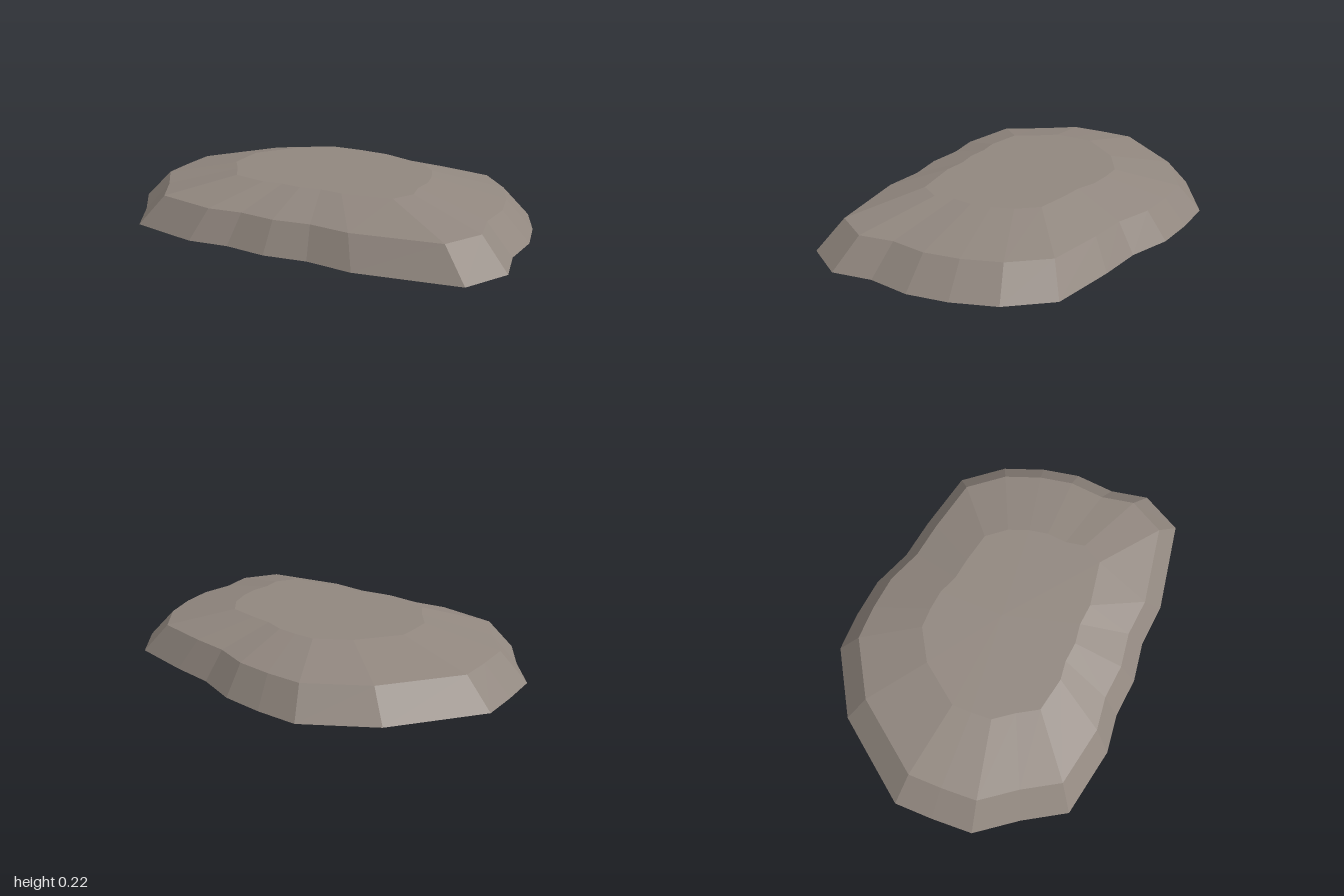
import * as THREE from 'three';

// Ground outline of the rock as [x, z], running back, right, front, left
const OUTLINE = [
  [-0.4, -0.72], [-0.2, -0.72], [0, -0.7], [0.2, -0.625], [0.41, -0.595], [0.72, -0.53],
  [0.875, -0.34], [0.95, -0.14], [0.985, 0.05], [0.965, 0.25], [1, 0.44], [0.885, 0.64],
  [0.42, 0.71], [0.2, 0.687], [0, 0.712], [-0.2, 0.69], [-0.39, 0.71], [-0.73, 0.64],
  [-0.85, 0.44], [-0.99, 0.25], [-1, 0.05], [-1, -0.14], [-0.71, -0.53],
];

// Rings rising from the ground: height, scale and z shift of the outline
const RINGS = [
  { y: 0, sx: 1, sz: 1, dz: 0 },
  { y: 0.135, sx: 0.867, sz: 0.869, dz: 0.006 },
  { y: 0.215, sx: 0.502, sz: 0.5, dz: 0.024 },
];

function slabGeometry() {
  const n = OUTLINE.length;
  const positions = [];
  const index = [];
  for (const r of RINGS) {
    for (const [x, z] of OUTLINE) positions.push(x * r.sx, r.y, z * r.sz + r.dz);
  }
  // Centre points of the underside and of the flat top
  const bottom = RINGS.length * n;
  const top = bottom + 1;
  const last = (RINGS.length - 1) * n;
  positions.push(0, 0, 0, 0, RINGS[RINGS.length - 1].y, 0);

  for (let i = 0; i < n; i++) {
    const j = (i + 1) % n;
    // Sloping sides
    for (let k = 0; k < last; k += n) {
      index.push(k + j, k + i, k + n + i, k + j, k + n + i, k + n + j);
    }
    // Caps
    index.push(bottom, i, j, top, last + j, last + i);
  }
  const geometry = new THREE.BufferGeometry();
  geometry.setAttribute('position', new THREE.Float32BufferAttribute(positions, 3));
  geometry.setIndex(index);
  const flat = geometry.toNonIndexed();
  flat.computeVertexNormals();
  return flat;
}

export function createModel() {
  const stone = new THREE.MeshStandardMaterial({ color: 0x91877f, flatShading: true });
  stone.name = 'warm grey stone';

  const rock = new THREE.Mesh(slabGeometry(), stone);
  rock.name = 'flatRock';

  const group = new THREE.Group();
  group.name = 'rockSlab';
  group.add(rock);
  return group;
}
